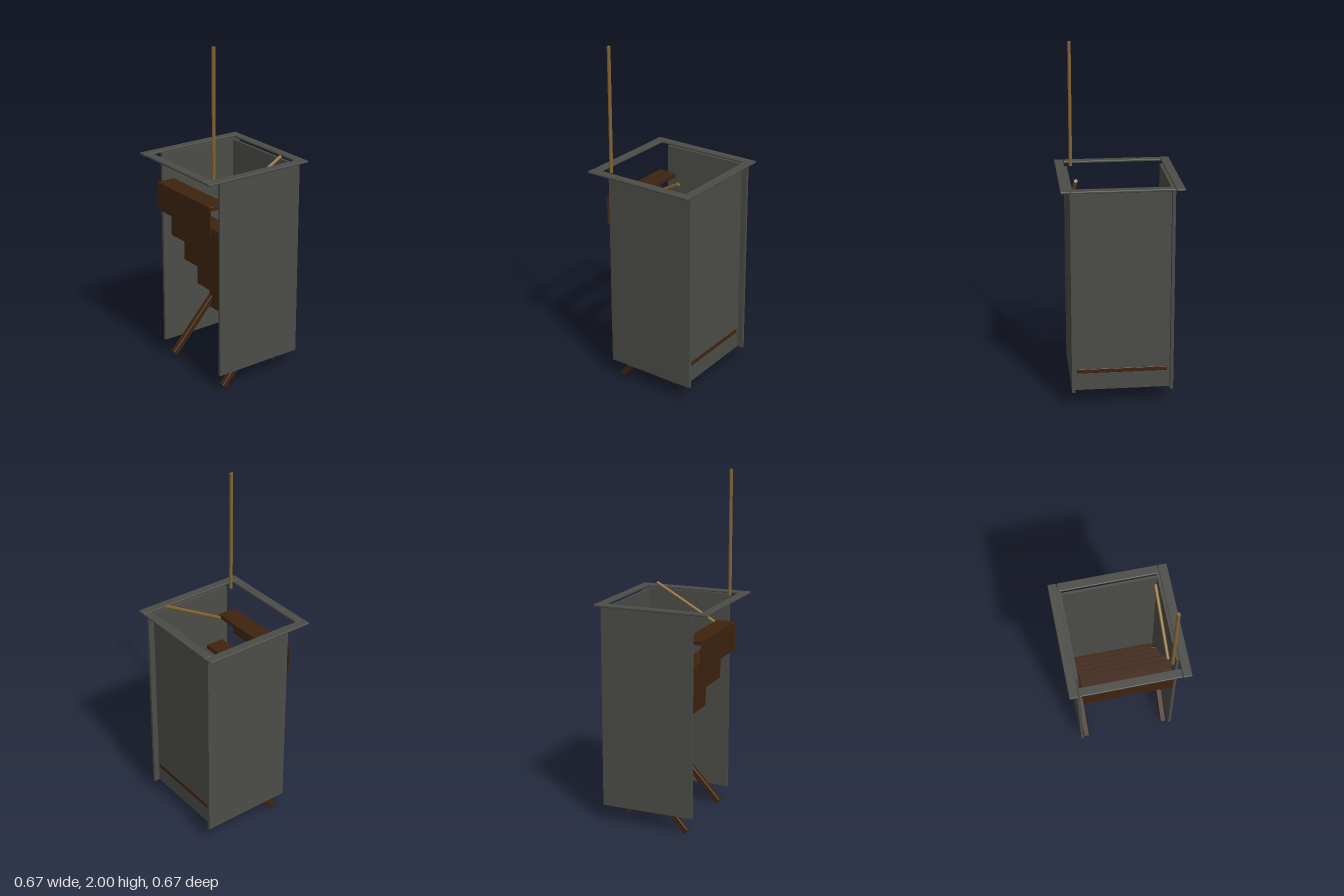
import * as THREE from 'three';
import { RoundedBoxGeometry } from 'three/addons/geometries/RoundedBoxGeometry.js';

export function createModel() {
  const group = new THREE.Group();
  const material = (name, color) => {
    const m = new THREE.MeshStandardMaterial({ color });
    m.name = name;
    return m;
  };
  const stone = material('grey stone', 0x4b4c47);
  const wood = material('dark wood', 0x3e230f);
  const pale = material('pale wood', 0x826331);

  const add = (name, geometry, mat, x, y, z) => {
    const mesh = new THREE.Mesh(geometry, mat);
    mesh.name = name;
    mesh.position.set(x, y, z);
    group.add(mesh);
    return mesh;
  };
  // Box given by its limits on each axis, optionally with softened edges
  const block = (name, mat, [x0, x1], [y0, y1], [z0, z1], bevel = 0) => {
    const size = [x1 - x0, y1 - y0, z1 - z0];
    const geometry = bevel
      ? new RoundedBoxGeometry(...size, 2, bevel)
      : new THREE.BoxGeometry(...size);
    return add(name, geometry, mat, (x0 + x1) / 2, (y0 + y1) / 2, (z0 + z1) / 2);
  };

  // Shaft walls: open at the front, back wall set in from the side walls
  block('leftWall', stone, [0.27, 0.287], [0.108, 1.283], [-0.318, 0.23]);
  block('rightWall', stone, [-0.287, -0.27], [0.108, 1.283], [-0.318, 0.23]);
  block('backWall', stone, [-0.27, 0.27], [0.108, 1.275], [-0.284, -0.269]);

  // Flat frame around the opening
  const frameY = [1.282, 1.295];
  block('frameLeft', stone, [0.286, 0.337], frameY, [-0.337, 0.337], 0.004);
  block('frameRight', stone, [-0.337, -0.286], frameY, [-0.337, 0.337], 0.004);
  block('frameFront', stone, [-0.284, 0.284], frameY, [0.284, 0.335], 0.004);
  block('frameBack', stone, [-0.284, 0.284], frameY, [-0.337, -0.286], 0.004);

  // Six steps, each a tread with a riser hanging from its front edge
  for (let i = 0; i < 6; i++) {
    const top = 0.235 + i * 0.1787;
    const front = -0.175 + i * 0.09;
    block('tread' + (i + 1), wood, [-0.256, 0.256], [top - 0.025, top], [front - 0.112, front], 0.003);
    block('riser' + (i + 1), wood, [-0.256, 0.256], [top - 0.167, top - 0.024], [front - 0.009, front], 0.002);
  }

  // Slanting support beams
  for (const side of [1, -1]) {
    const beam = add(side > 0 ? 'leftBeam' : 'rightBeam',
      new RoundedBoxGeometry(0.034, 0.035, 0.542, 2, 0.005), wood, side * 0.248, 0.212, 0);
    beam.rotation.x = THREE.MathUtils.degToRad(47);
  }

  // Round rods between two points
  const rod = (name, from, to) => {
    const direction = to.clone().sub(from);
    const middle = from.clone().add(to).multiplyScalar(0.5);
    const mesh = add(name, new THREE.CylinderGeometry(0.01, 0.01, direction.length(), 10), pale,
      middle.x, middle.y, middle.z);
    mesh.quaternion.setFromUnitVectors(new THREE.Vector3(0, 1, 0), direction.normalize());
  };
  rod('uprightPole', new THREE.Vector3(0.247, 1.28, 0.242), new THREE.Vector3(0.247, 2, 0.242));
  rod('handrail', new THREE.Vector3(0.247, 1.087, 0.2), new THREE.Vector3(0.247, 1.32, -0.214));

  return group;
}
